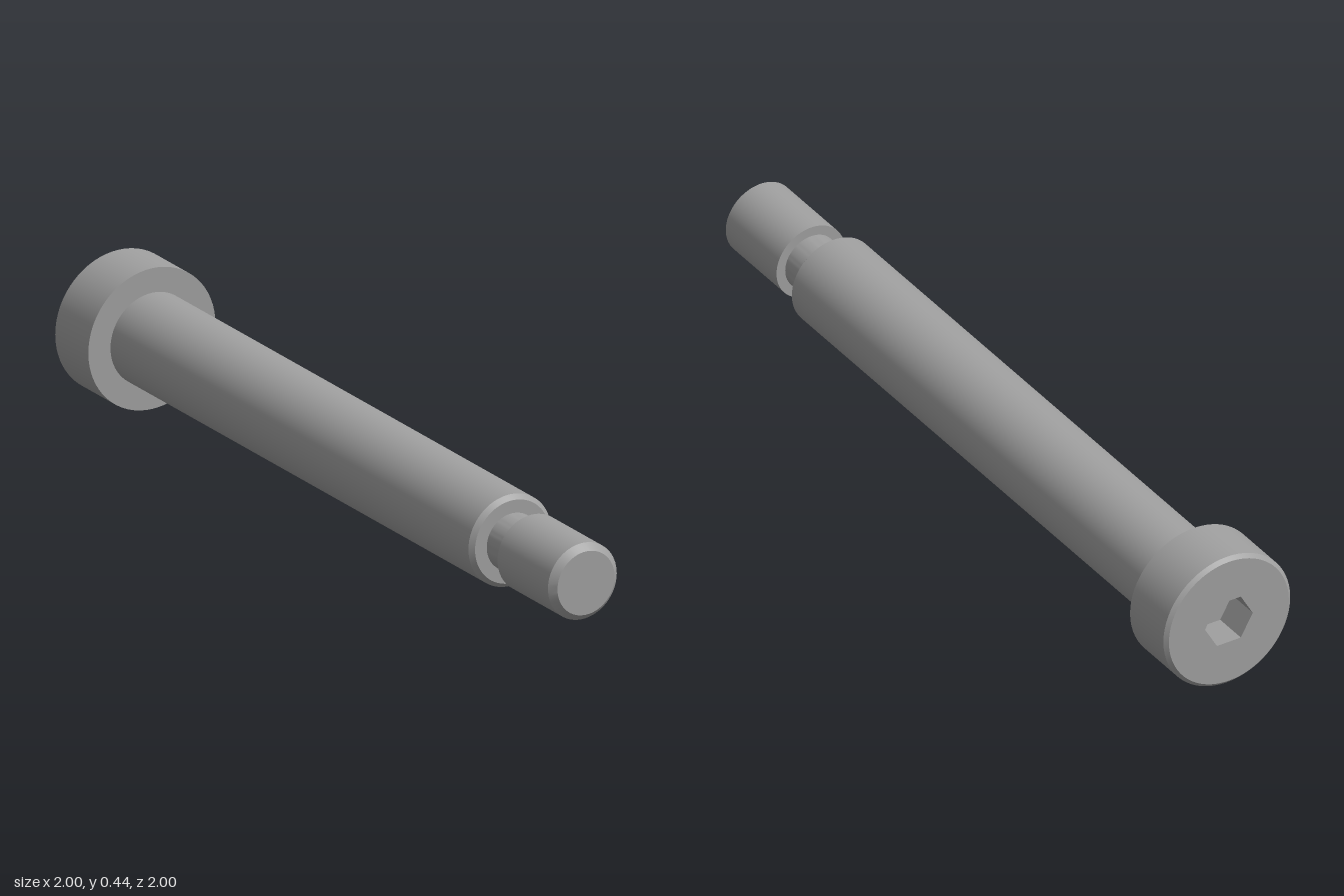
import * as THREE from 'three';
import { toCreasedNormals } from 'three/addons/utils/BufferGeometryUtils.js';

const SIDES = 64;
const AXIS_HEIGHT = 0.218;
const FACE = -1.207; // position of the head face along the bolt axis
const HEX = 0.082; // socket corner radius

// Turns a profile of [radius, position along axis] pairs around the bolt axis
function turned(profile, sides = SIDES, start = 0) {
  const points = profile.map(([r, s]) => new THREE.Vector2(r, s));
  return toCreasedNormals(new THREE.LatheGeometry(points, sides, start), 0.4);
}

export function createModel() {
  const steel = new THREE.MeshStandardMaterial({ color: 0xa0a0a0 });
  steel.name = 'steel';

  const bolt = new THREE.Group();
  bolt.name = 'shoulderBolt';
  const add = (name, geometry) => {
    const mesh = new THREE.Mesh(geometry, steel);
    mesh.name = name;
    bolt.add(mesh);
  };

  // Head with a small chamfer around the outer face
  add('head', turned([[0.206, FACE], [0.218, FACE + 0.011], [0.218, -1.018], [0.14, -1.018]]));

  // Outer face of the head, pierced by the hexagonal socket
  const disc = new THREE.Shape().absarc(0, 0, 0.206, 0, Math.PI * 2);
  const corners = Array.from({ length: 6 }, (_, i) => {
    const a = (-i * Math.PI) / 3;
    return new THREE.Vector2(HEX * Math.cos(a), HEX * Math.sin(a));
  });
  disc.holes.push(new THREE.Path(corners));
  add('headFace', new THREE.ShapeGeometry(disc, SIDES).rotateX(Math.PI / 2).translate(0, FACE, 0));

  // Socket floor and six walls, facing inward
  const floor = FACE + 0.11;
  add('hexSocket', turned([[0, floor], [HEX, floor], [HEX, FACE]], 6, Math.PI / 2));

  // Smooth shoulder with a chamfered end
  add('shoulder', turned([[0.142, -1.018], [0.142, 0.906], [0.128, 0.92], [0.085, 0.92]]));

  // Undercut neck between shoulder and threaded end
  add('neck', turned([[0.088, 0.92], [0.088, 1.025]]));

  // Narrow end with a chamfered tip
  add('threadedEnd', turned([[0.085, 1.025], [0.118, 1.025], [0.118, 1.296], [0.098, 1.316], [0, 1.316]]));

  // Lay the bolt down, tip towards the front left
  bolt.rotation.set(Math.PI / 2, Math.PI / 4, 0, 'YXZ');
  bolt.position.y = AXIS_HEIGHT;

  const model = new THREE.Group();
  model.add(bolt);
  return model;
}
